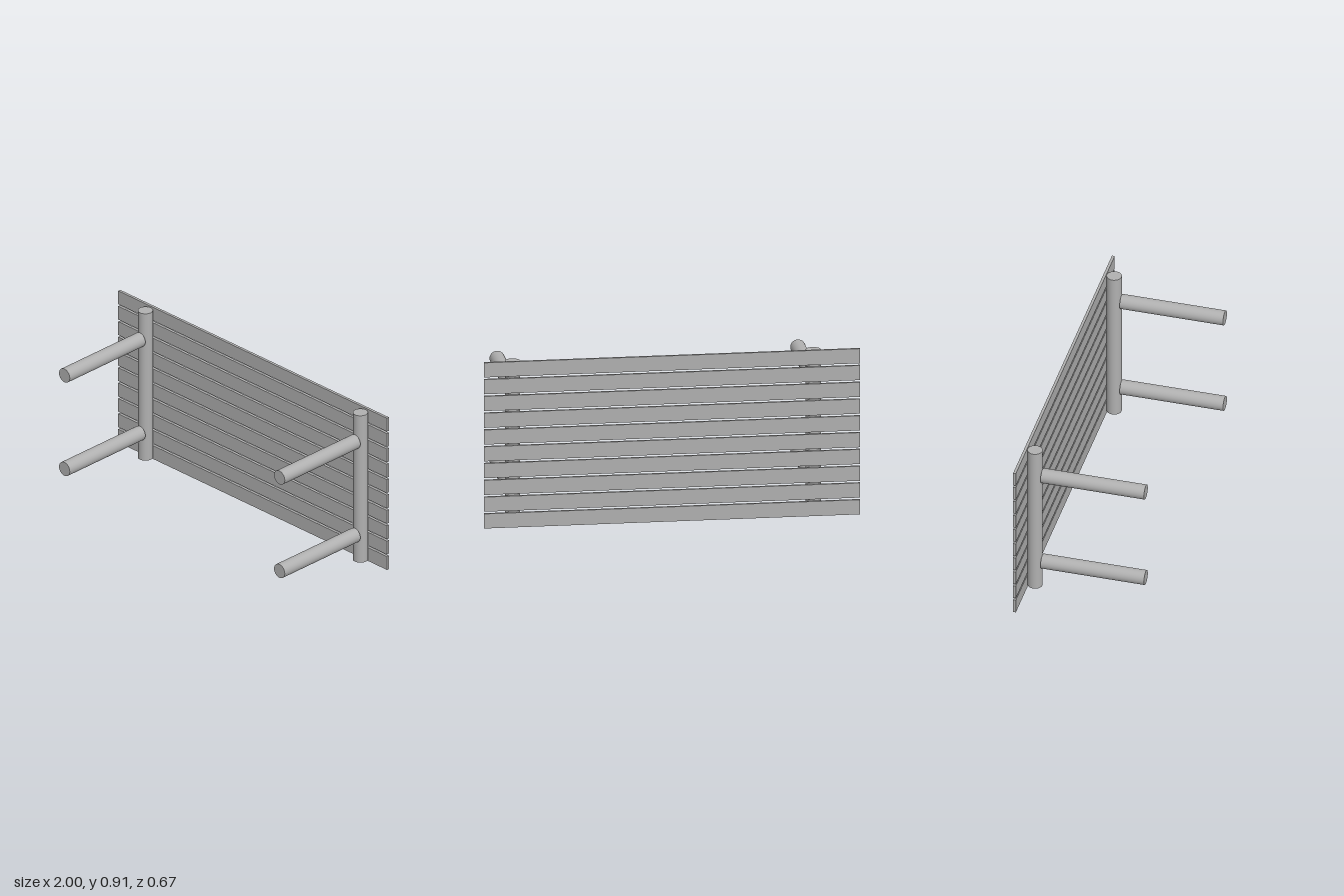
import * as THREE from 'three';

export function createModel() {
  const model = new THREE.Group();
  const table = new THREE.Group();
  table.name = 'table';
  table.rotation.y = 0.0045; // rests very slightly askew
  model.add(table);

  const grey = new THREE.MeshStandardMaterial({ color: 0xb0b0b0 });
  grey.name = 'grey';

  function add(name, geometry, x, y, z) {
    const mesh = new THREE.Mesh(geometry, grey);
    mesh.name = name;
    mesh.position.set(x, y, z);
    table.add(mesh);
  }

  // Table top: ten evenly spaced planks
  const plankHeight = 0.08, pitch = 0.0921;
  const plank = new THREE.BoxGeometry(2, plankHeight, 0.015);
  for (let i = 0; i < 10; i++) {
    add('plank' + (i + 1), plank, 0, plankHeight / 2 + i * pitch, -0.322);
  }

  // Two round crossbars, each carrying two round legs
  const radius = 0.04, legLength = 0.5645;
  const crossbar = new THREE.CylinderGeometry(radius, radius, 0.88, 48);
  const leg = new THREE.CylinderGeometry(radius, radius, legLength, 48).rotateX(Math.PI / 2);
  for (const [side, x] of [['right', -0.758], ['left', 0.842]]) {
    add(side + 'Crossbar', crossbar, x, 0.46, -0.2745);
    add(side + 'LowerLeg', leg, x, 0.18, 0.33 - legLength / 2);
    add(side + 'UpperLeg', leg, x, 0.74, 0.33 - legLength / 2);
  }
  return model;
}
